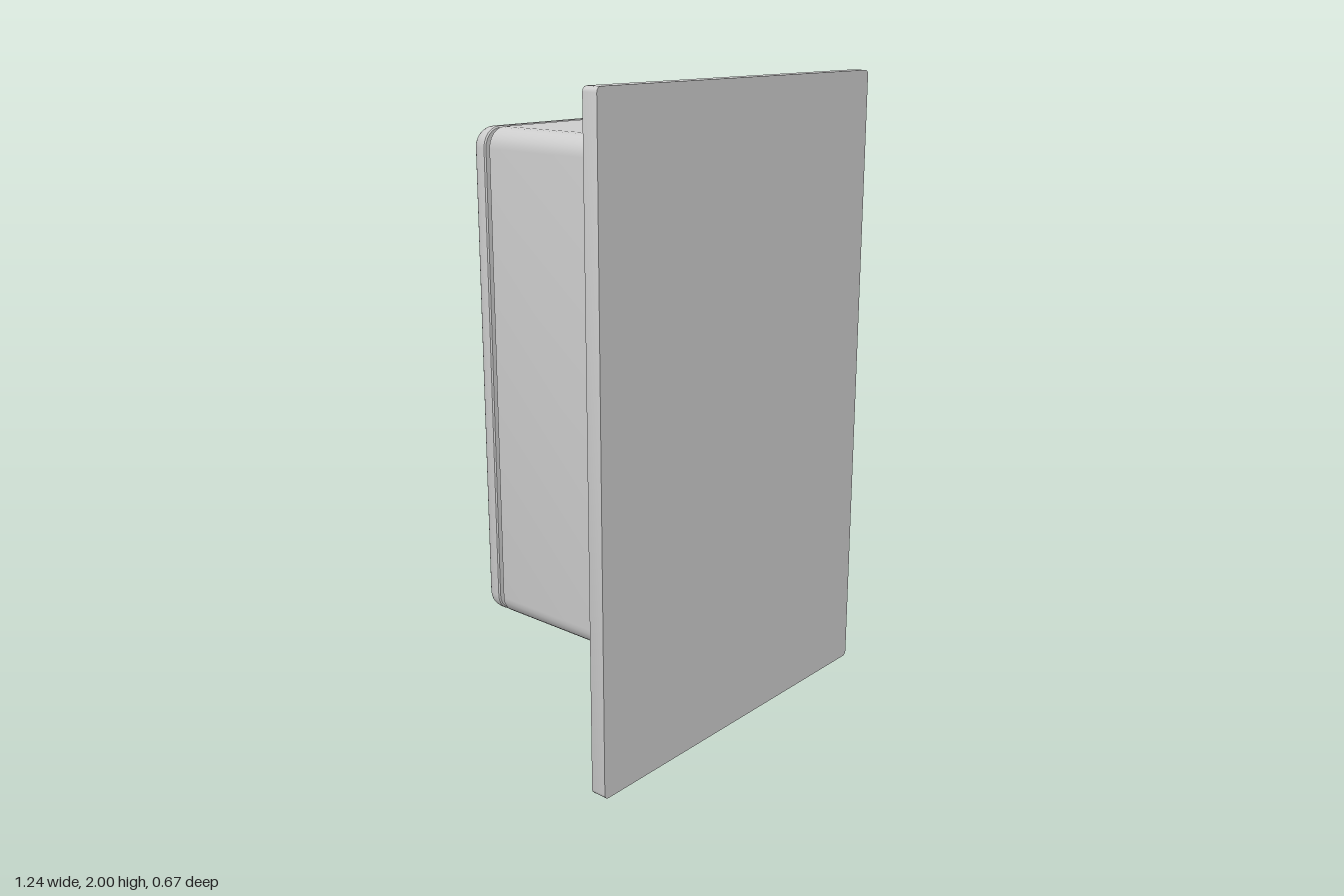
import * as THREE from 'three';
import { toCreasedNormals } from 'three/addons/utils/BufferGeometryUtils.js';

const material = new THREE.MeshStandardMaterial({ color: 0xcccccc });

// Rounded rectangle of size w x h lofted through [z, inset] sections, z ascending, ends capped
function roundedLoft(w, h, radius, sections, steps = 6) {
  const pos = [], index = [];
  const n = 4 * (steps + 1);
  for (const [z, inset] of sections) {
    const r = Math.max(radius - inset, 0.002);
    for (let c = 0; c < 4; c++) {
      const cx = (c === 0 || c === 3 ? 1 : -1) * (w / 2 - inset - r);
      const cy = (c < 2 ? 1 : -1) * (h / 2 - inset - r);
      for (let s = 0; s <= steps; s++) {
        const a = (c + s / steps) * Math.PI / 2;
        pos.push(cx + r * Math.cos(a), cy + r * Math.sin(a), z);
      }
    }
  }
  const last = sections.length - 1;
  const back = pos.length / 3;
  pos.push(0, 0, sections[0][0], 0, 0, sections[last][0]);
  for (let j = 0; j < n; j++) {
    const k = (j + 1) % n;
    for (let i = 0; i < last; i++) {
      const a = i * n, b = a + n;
      index.push(a + j, a + k, b + k, a + j, b + k, b + j);
    }
    index.push(back, k, j, back + 1, last * n + j, last * n + k);
  }
  const g = new THREE.BufferGeometry();
  g.setAttribute('position', new THREE.Float32BufferAttribute(pos, 3));
  g.setIndex(index);
  return toCreasedNormals(g, 0.6);
}

export function createModel() {
  const group = new THREE.Group();
  const add = (name, geometry, x, y, z, parent = group) => {
    const mesh = new THREE.Mesh(geometry, material);
    mesh.name = name;
    mesh.position.set(x, y, z);
    parent.add(mesh);
    return mesh;
  };
  const disc = (r, depth) => new THREE.CylinderGeometry(r, r, depth, 20).rotateX(Math.PI / 2);

  // Mounting plate
  add('mountingPlate', roundedLoft(1.24, 2, 0.015, [[0.28, 0], [0.33, 0]], 3), 0, 1, 0);

  // Cabinet box with a slightly eased rim
  const midY = 1.11, w = 0.946, h = 1.5, corner = 0.06;
  add('cabinetBody', roundedLoft(w, h, corner, [[-0.235, 0.006], [-0.229, 0], [0.28, 0]]), 0, midY, 0);

  // Recessed seal between box and door
  add('doorSeal', roundedLoft(w, h, corner, [[-0.255, 0.018], [-0.23, 0.018]]), 0, midY, 0);

  // Door with a rounded outer edge
  const front = -0.313, fillet = 0.044, doorSections = [];
  for (let i = 0; i <= 8; i++) {
    const a = (i / 8) * Math.PI / 2;
    doorSections.push([front + fillet * (1 - Math.cos(a)), fillet * (1 - Math.sin(a))]);
  }
  doorSections.push([-0.252, 0], [-0.248, 0.004]);
  add('door', roundedLoft(w, h, corner, doorSections), 0, midY, 0);

  // Four indicator studs
  for (const x of [0.08, 0.295])
    for (const y of [1.65, 1.74]) add('indicatorStud', disc(0.012, 0.02), x, y, front - 0.004);

  // Lock: square escutcheon with a two-winged key insert
  const lock = new THREE.Group();
  lock.name = 'lock';
  lock.position.set(0.332, 1.135, front);
  group.add(lock);
  add('lockPlate', roundedLoft(0.098, 0.098, 0.004, [[-0.017, 0.002], [-0.015, 0], [0.005, 0]], 2), 0, 0, 0, lock);
  add('keyInsert', disc(0.012, 0.01), 0, 0, -0.017, lock);
  const wings = add('keyWings', new THREE.BoxGeometry(0.05, 0.009, 0.01), 0, 0, -0.0165, lock);
  wings.rotation.z = Math.PI / 4;

  return group;
}
